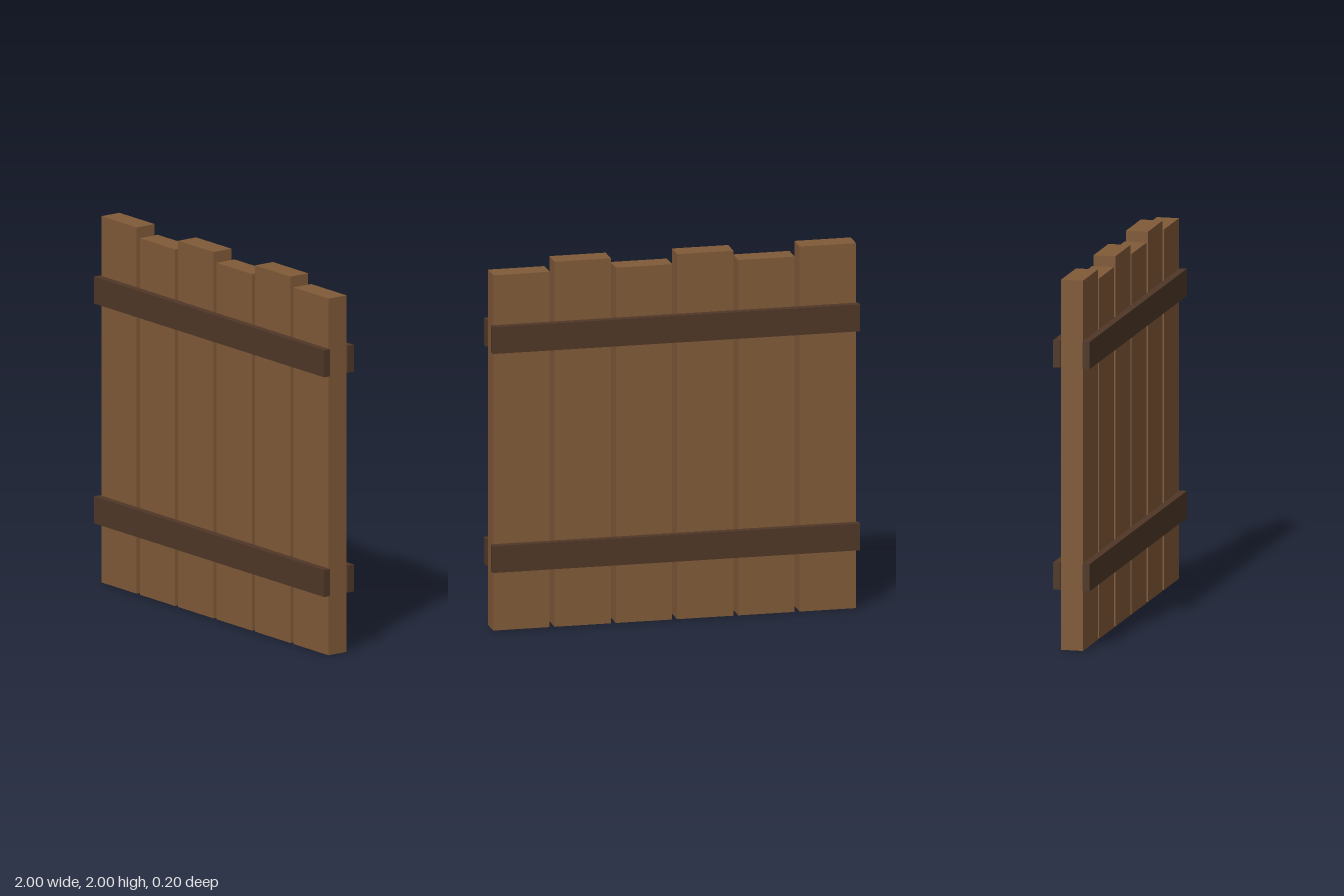
import * as THREE from 'three';

export function createModel() {
  const model = new THREE.Group();
  model.name = 'woodenFence';
  const plankWood = new THREE.MeshStandardMaterial({ color: 0x805a38 });
  const railWood = new THREE.MeshStandardMaterial({ color: 0x4f3727 });

  const addBoard = (name, material, size, position) => {
    const board = new THREE.Mesh(new THREE.BoxGeometry(...size), material);
    board.name = name;
    board.position.set(...position);
    model.add(board);
  };

  // Six upright planks, alternating tall and short
  const count = 6, pitch = 1 / 3;
  for (let i = 0; i < count; i++) {
    const height = i % 2 === 0 ? 2 : 1.947;
    const x = (i - (count - 1) / 2) * pitch;
    addBoard(`plank${i + 1}`, plankWood, [0.307, height, 0.12], [x, height / 2, 0]);
  }

  // Lower and upper rails on both faces
  for (const [level, y] of [['lower', 0.4], ['upper', 1.6]]) {
    for (const [face, side] of [['Front', 1], ['Back', -1]]) {
      addBoard(`${level}${face}Rail`, railWood, [2, 0.147, 0.04], [0, y, side * 0.08]);
    }
  }

  return model;
}
